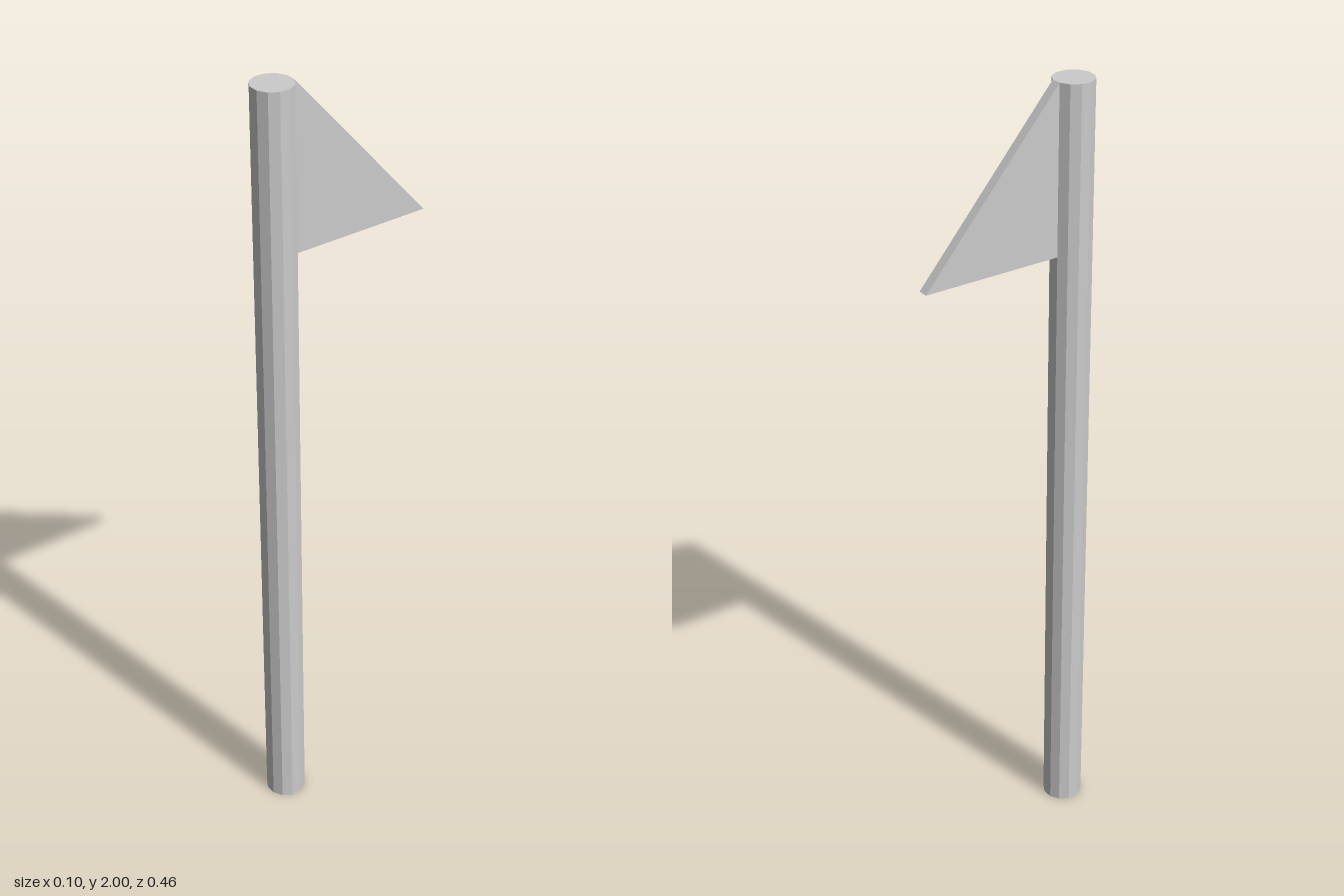
import * as THREE from 'three';

export function createModel() {
  const model = new THREE.Group();
  const material = new THREE.MeshStandardMaterial({ color: 0xcccccc, flatShading: true });

  const height = 2, sides = 12, poleRadius = 0.0505, poleZ = 0.18;
  const halfSide = Math.PI / sides;
  const poleBackZ = poleZ - poleRadius * Math.cos(halfSide);
  const flagThickness = 2 * poleRadius * Math.sin(halfSide);

  // Twelve-sided pole, turned so a flat side faces the flag
  const poleGeometry = new THREE.CylinderGeometry(poleRadius, poleRadius, height, sides);
  poleGeometry.rotateY(halfSide);
  const pole = new THREE.Mesh(poleGeometry, material);
  pole.name = 'pole';
  pole.position.set(0, height / 2, poleZ);
  model.add(pole);

  // Triangular pennant, as thick as one pole facet, pointing backwards
  const outline = new THREE.Shape([
    new THREE.Vector2(-poleBackZ, 1.58),
    new THREE.Vector2(0.23, 1.58),
    new THREE.Vector2(-poleBackZ, height),
  ]);
  const flagGeometry = new THREE.ExtrudeGeometry(outline, { depth: flagThickness, bevelEnabled: false });
  flagGeometry.translate(0, 0, -flagThickness / 2);
  flagGeometry.rotateY(Math.PI / 2);
  const flag = new THREE.Mesh(flagGeometry, material);
  flag.name = 'flag';
  model.add(flag);

  return model;
}
